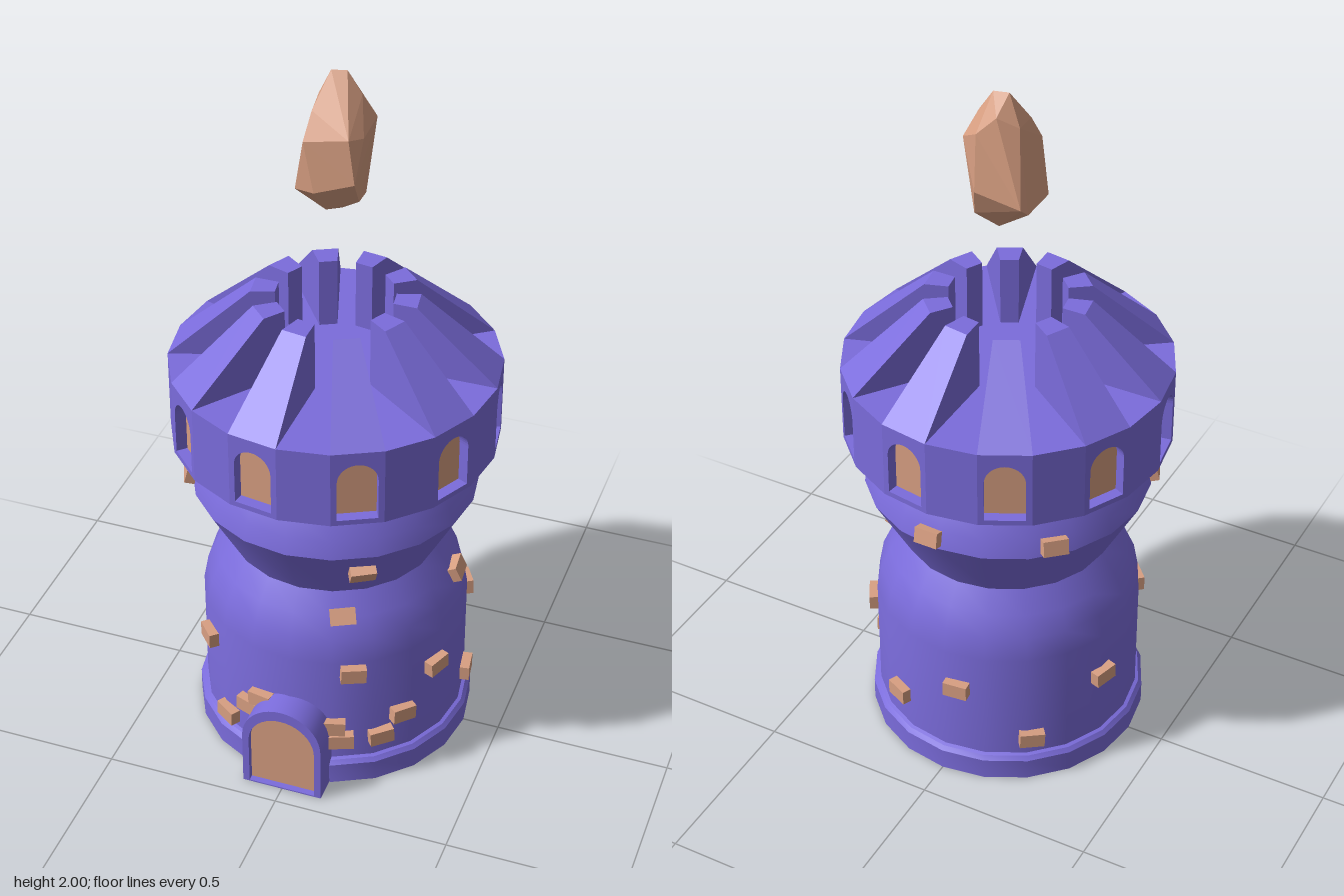
import * as THREE from 'three';
import { toCreasedNormals } from 'three/addons/utils/BufferGeometryUtils.js';
import { ConvexGeometry } from 'three/addons/geometries/ConvexGeometry.js';

const purple = new THREE.MeshStandardMaterial({ color: 0x7b6cdc });
const tan = new THREE.MeshStandardMaterial({ color: 0xd89f82 });
const SIDES = 20, STEP = (Math.PI * 2) / SIDES, CROWN_R = 0.45;

// [radius, height] outline of the tower body
const PROFILE = [
  [0.395, 0], [0.395, 0.063], [0.385, 0.075], [0.375, 0.078], [0.375, 0.42], [0.362, 0.49],
  [0.335, 0.55], [0.295, 0.612], [0.397, 0.8], [0.385, 0.85], [0.358, 0.9], [0.365, 0.92], [0.45, 0.955],
];

// [degrees round from the front towards +x, height] of each loose brick
const BRICKS = [
  [-66, 0.825], [31, 0.73], [23, 0.555], [27, 0.39], [-48, 0.335], [67, 0.325], [-33, 0.12],
  [-19.5, 0.205], [-13, 0.25], [18.5, 0.2], [22, 0.15], [39, 0.15], [49, 0.21], [99, 0.15],
  [94, 0.53], [120, 0.355], [155, 0.185], [176, 0.83], [-134, 0.83], [-174, 0.305],
  [-108, 0.29], [-142, 0.14],
];

function add(parent, name, geometry, material) {
  const mesh = new THREE.Mesh(geometry, material);
  mesh.name = name;
  parent.add(mesh);
  return mesh;
}

// Round-topped outline standing on height y0
function arch(Type, halfWidth, y0, top) {
  const s = new Type();
  s.moveTo(-halfWidth, y0);
  s.lineTo(halfWidth, y0);
  s.lineTo(halfWidth, top - halfWidth);
  s.absarc(0, top - halfWidth, halfWidth, 0, Math.PI, false);
  s.lineTo(-halfWidth, y0);
  return s;
}

const extrude = (shape, depth) =>
  new THREE.ExtrudeGeometry(shape, { depth, bevelEnabled: false, curveSegments: 10 });

// Radius and slope of the body wall at height y
function wallAt(y) {
  const i = PROFILE.findIndex((p) => p[1] > y);
  const [r0, y0] = PROFILE[i - 1], [r1, y1] = PROFILE[i];
  return { r: r0 + ((r1 - r0) * (y - y0)) / (y1 - y0), tilt: Math.atan2(r1 - r0, y1 - y0) };
}

// Roof rib: a one-sector wedge sloping up from the rim to a flat inner end
function ribGeometry() {
  const outline = [[0.16, 1.17], [CROWN_R, 1.17], [CROWN_R, 1.18], [0.225, 1.38], [0.16, 1.38]];
  const n = outline.length, pos = [], index = [];
  for (const a of [-STEP / 2, STEP / 2])
    for (const [r, y] of outline) pos.push(r * Math.sin(a), y, r * Math.cos(a));
  for (let i = 0; i < n; i++) {
    const j = (i + 1) % n;
    index.push(i, i + n, j, j, i + n, j + n);
    if (i > 0 && i < n - 1) index.push(0, i, i + 1, n, n + i + 1, n + i);
  }
  const g = new THREE.BufferGeometry();
  g.setAttribute('position', new THREE.Float32BufferAttribute(pos, 3));
  g.setIndex(index);
  const flat = g.toNonIndexed();
  flat.computeVertexNormals();
  return flat;
}

function buildCrown() {
  const crown = new THREE.Group();
  crown.name = 'crown';
  const half = CROWN_R * Math.sin(STEP / 2), apothem = CROWN_R * Math.cos(STEP / 2), depth = 0.035;
  const panelShape = () => new THREE.Shape([
    new THREE.Vector2(-half, 0.955), new THREE.Vector2(half, 0.955),
    new THREE.Vector2(half, 1.18), new THREE.Vector2(-half, 1.18),
  ]);
  const solid = extrude(panelShape(), depth);
  const pierced = panelShape();
  pierced.holes.push(arch(THREE.Path, 0.054, 0.97, 1.143));
  const windowWall = extrude(pierced, depth);
  const pane = new THREE.ShapeGeometry(arch(THREE.Shape, 0.058, 0.966, 1.147), 10);
  const rib = ribGeometry();

  // Windows and ribs share every second sector
  for (let i = 0; i < SIDES; i++) {
    const sector = new THREE.Group();
    sector.name = 'crownSector';
    sector.rotation.y = (i - 0.5) * STEP;
    crown.add(sector);
    const hasWindow = i % 2 === 0;
    add(sector, 'crownWall', hasWindow ? windowWall : solid, purple).position.z = apothem - depth;
    if (!hasWindow) continue;
    add(sector, 'windowPane', pane, tan).position.z = apothem - depth + 0.004;
    add(sector, 'roofRib', rib, purple);
  }
  const floor = add(crown, 'roofFloor', new THREE.CircleGeometry(CROWN_R, SIDES), purple);
  floor.rotation.x = -Math.PI / 2;
  floor.position.y = 1.18;
  return crown;
}

function buildDoor() {
  const door = new THREE.Group();
  door.name = 'door';
  const frame = arch(THREE.Shape, 0.116, 0, 0.285);
  frame.holes.push(arch(THREE.Path, 0.097, 0.004, 0.252));
  add(door, 'doorFrame', toCreasedNormals(extrude(frame, 0.125), 0.6), purple).position.z = 0.323;
  add(door, 'doorPanel', extrude(arch(THREE.Shape, 0.1, 0.003, 0.255), 0.1), tan).position.z = 0.33;
  return door;
}

function buildBricks() {
  const bricks = new THREE.Group();
  bricks.name = 'bricks';
  const geometry = new THREE.BoxGeometry(0.07, 0.044, 0.045);
  BRICKS.forEach(([deg, y], i) => {
    const { r, tilt } = wallAt(y);
    const brick = add(bricks, 'brick', geometry, tan);
    const a = THREE.MathUtils.degToRad(deg);
    brick.position.set(r * Math.sin(a), y, r * Math.cos(a));
    brick.rotation.set(tilt, a, ((i % 3) - 1) * 0.05, 'YXZ');
  });
  return bricks;
}

// Faceted stone floating over the roof
function buildCrystal() {
  const points = [
    [-0.03, 2, -0.05], [0.01, 2, -0.06], [-0.07, 1.92, -0.07], [0.05, 1.94, -0.06],
    [0.08, 1.87, -0.09], [0.075, 1.85, 0], [-0.06, 1.91, 0.01], [-0.07, 1.84, 0.05],
    [0.05, 1.86, 0.045], [0.068, 1.74, 0.05], [-0.02, 1.95, -0.1], [0.03, 1.9, -0.115],
    [0.03, 1.74, -0.125], [-0.1, 1.72, -0.122], [-0.11, 1.7, -0.1], [-0.1, 1.69, 0.03],
    [-0.04, 1.7, 0.055], [0.06, 1.66, -0.01], [0.055, 1.65, -0.08], [0, 1.61, -0.05],
    [-0.03, 1.62, -0.01],
  ].map((p) => new THREE.Vector3(...p));
  const mesh = new THREE.Mesh(new ConvexGeometry(points), tan);
  mesh.name = 'crystal';
  return mesh;
}

export function createModel() {
  const model = new THREE.Group();
  model.name = 'tower';
  const outline = PROFILE.map(([r, y]) => new THREE.Vector2(r, y));
  add(model, 'body', toCreasedNormals(new THREE.LatheGeometry(outline, SIDES), 0.55), purple);
  const base = add(model, 'underside', new THREE.CircleGeometry(0.395, SIDES), tan);
  base.rotation.x = Math.PI / 2;
  model.add(buildCrown(), buildDoor(), buildBricks(), buildCrystal());
  return model;
}
